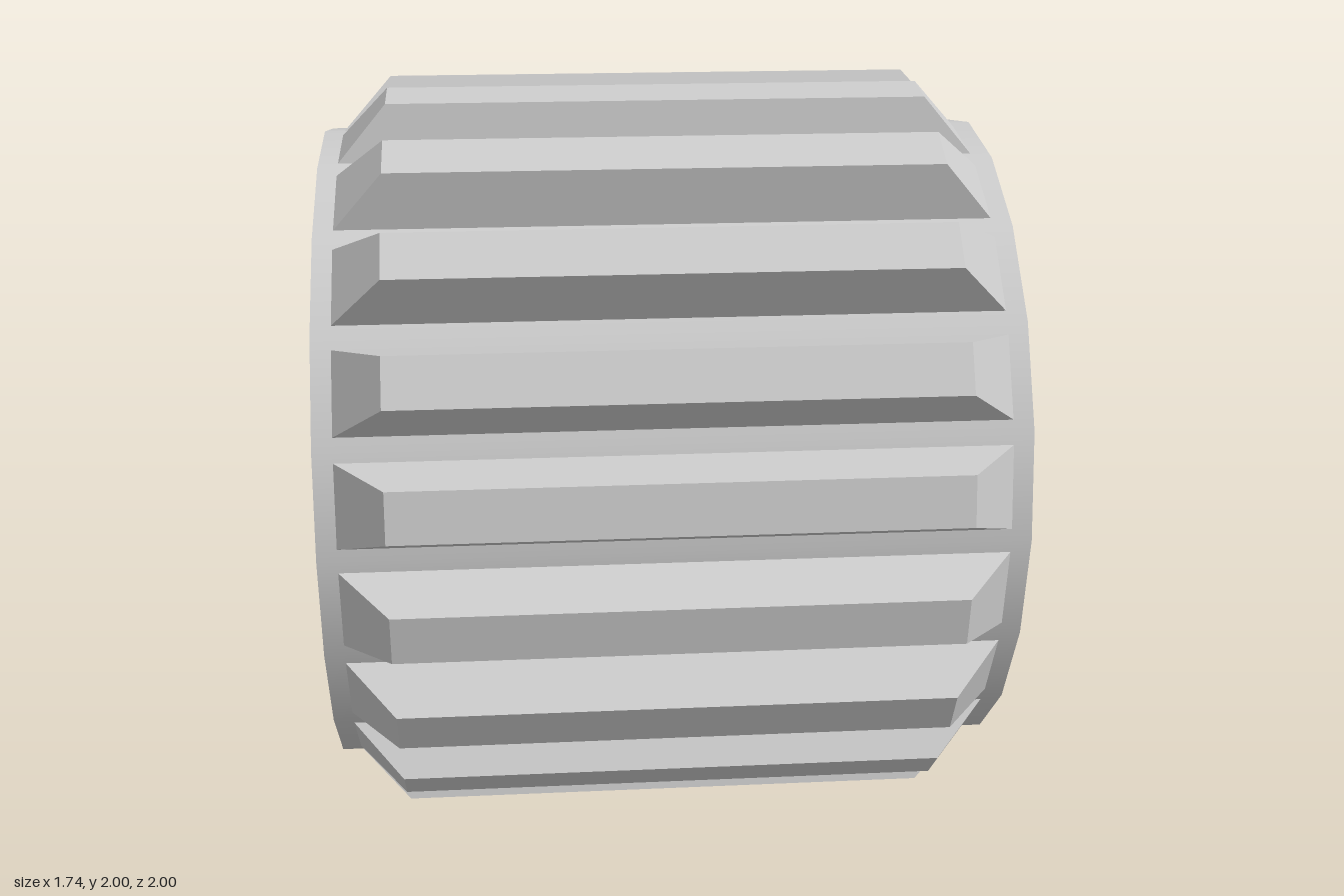
import * as THREE from 'three';

const TEETH = 20;
const RADIUS = 0.87;
const ROOT = RADIUS * Math.cos(Math.PI / TEETH); // distance to the middle of a body facet
const TIP = 1.002;

// Tapered bar along x: wide root on the body, narrower and shorter tip
function toothGeometry() {
  const geo = new THREE.BoxGeometry(2, 1, 2);
  const p = geo.attributes.position;
  for (let i = 0; i < p.count; i++) {
    const tip = p.getY(i) > 0;
    p.setXYZ(i,
      p.getX(i) * (tip ? 0.695 : 0.82),
      tip ? TIP : ROOT,
      p.getZ(i) * (tip ? 0.064 : 0.105));
  }
  geo.computeVertexNormals();
  return geo;
}

export function createModel() {
  const model = new THREE.Group();
  model.name = 'gear';
  const smooth = new THREE.MeshStandardMaterial({ color: 0xcccccc });
  const flat = new THREE.MeshStandardMaterial({ color: 0xcccccc, flatShading: true });

  // Drum lying along x
  const body = new THREE.Mesh(new THREE.CylinderGeometry(RADIUS, RADIUS, 1.74, TEETH), smooth);
  body.name = 'body';
  body.rotation.z = Math.PI / 2;
  body.position.y = 1;
  model.add(body);

  // One tooth on each facet of the drum
  const teeth = new THREE.Group();
  teeth.name = 'teeth';
  teeth.position.y = 1;
  const geo = toothGeometry();
  for (let i = 0; i < TEETH; i++) {
    const tooth = new THREE.Mesh(geo, flat);
    tooth.name = 'tooth';
    tooth.rotation.x = (i + 0.5) * 2 * Math.PI / TEETH;
    teeth.add(tooth);
  }
  model.add(teeth);
  return model;
}
